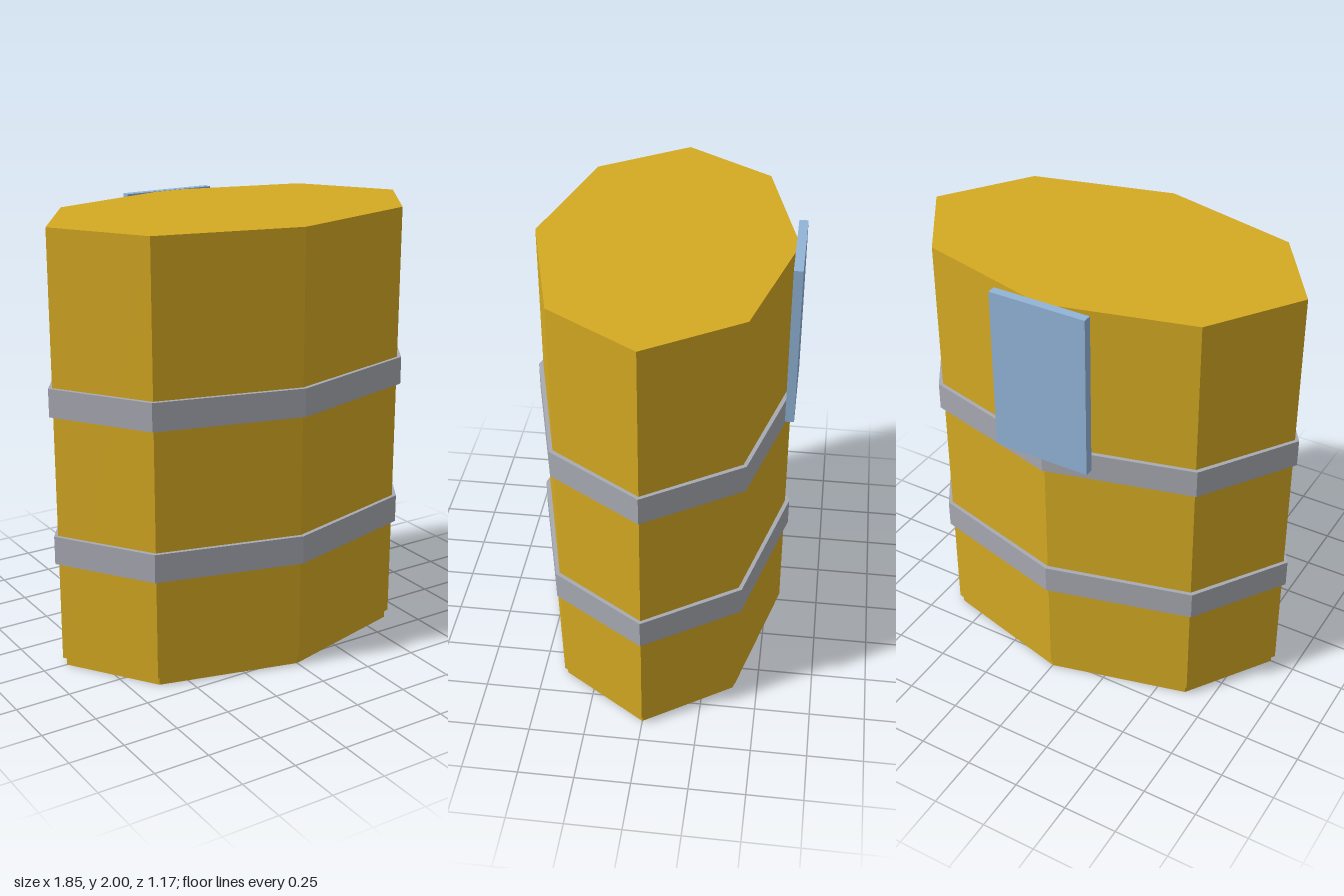
import * as THREE from 'three';

export function createModel() {
  const model = new THREE.Group();
  model.name = 'bandedBarrel';

  const material = (name, color) => {
    const m = new THREE.MeshStandardMaterial({ color, flatShading: true });
    m.name = name;
    return m;
  };
  const gold = material('gold', 0xd4a922);
  const grey = material('steelGrey', 0xa8aab2);
  const blue = material('paleBlue', 0x92b4d8);

  const add = (name, geometry, mat) => {
    const mesh = new THREE.Mesh(geometry, mat);
    mesh.name = name;
    model.add(mesh);
  };

  // Flattened octagonal prism with corners on the x and z axes
  const prism = (rx, rz, y0, y1) =>
    new THREE.CylinderGeometry(1, 1, y1 - y0, 8)
      .scale(rx, 1, rz)
      .translate(0, (y0 + y1) / 2, 0);

  // Body and its slightly inset foot
  add('body', prism(0.905, 0.565, 0.04, 1.999), gold);
  add('foot', prism(0.887, 0.55, 0, 0.04), gold);

  // Two raised bands
  add('lowerBand', prism(0.924, 0.585, 0.505, 0.635), grey);
  add('upperBand', prism(0.924, 0.585, 1.185, 1.312), grey);

  // Upright plate on the back, just proud of the rear corner
  add('backPlate', new THREE.BoxGeometry(0.45, 0.75, 0.04).translate(0, 1.625, -0.568), blue);

  return model;
}
